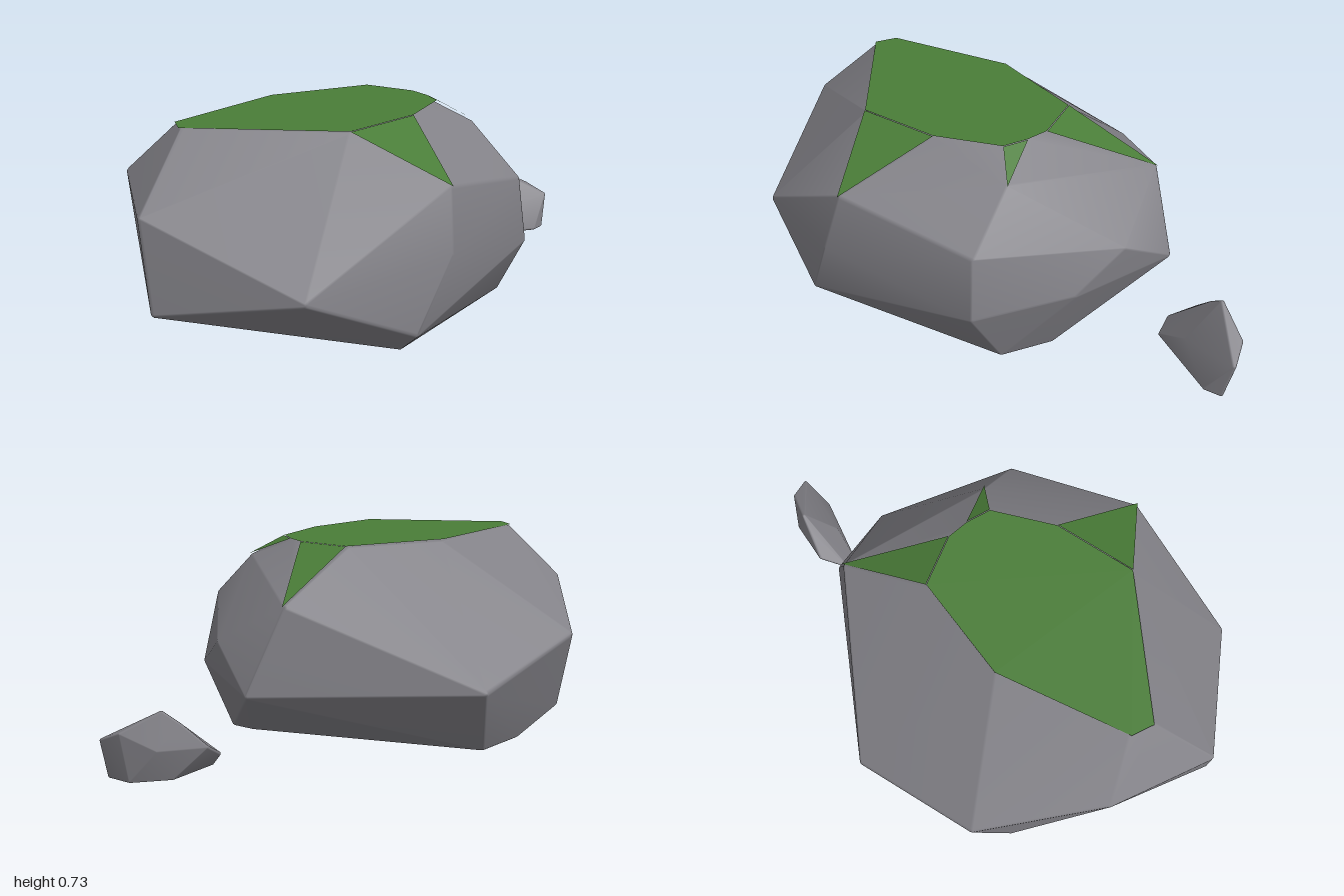
import * as THREE from 'three';
import { ConvexGeometry } from 'three/addons/geometries/ConvexGeometry.js';
import { mergeVertices } from 'three/addons/utils/BufferGeometryUtils.js';

const vec = (p) => new THREE.Vector3(...p);

// Convex stone whose corners and edges are rounded by a small radius;
// area-weighted normals keep the big faces flat and the bevels soft
function stone(name, corners, radius, material) {
  const pts = corners.map(vec);
  const centre = new THREE.Box3().setFromPoints(pts).getCenter(new THREE.Vector3());
  const pos = new THREE.IcosahedronGeometry(radius, 1).getAttribute('position');
  const ball = new Map();
  for (let i = 0; i < pos.count; i++) {
    const v = new THREE.Vector3().fromBufferAttribute(pos, i);
    ball.set(v.toArray().map((n) => Math.round(n * 1e4)).join(), v);
  }
  const cloud = [];
  for (const p of pts) {
    const inner = p.clone().addScaledVector(p.clone().sub(centre).normalize(), -1.3 * radius);
    for (const b of ball.values()) cloud.push(inner.clone().add(b));
  }
  const hull = new ConvexGeometry(cloud);
  hull.deleteAttribute('normal');
  const geo = mergeVertices(hull, 1e-5);
  geo.computeVertexNormals();
  const mesh = new THREE.Mesh(geo, material);
  mesh.name = name;
  return mesh;
}

// Thin flat patch lying just above a face of the boulder
function patch(name, corners, material, lift = 0.006) {
  const pts = corners.map(vec);
  const normal = new THREE.Triangle(pts[0], pts[1], pts[2]).getNormal(new THREE.Vector3());
  if (normal.y < 0) {
    pts.reverse();
    normal.negate();
  }
  pts.forEach((p) => p.addScaledVector(normal, lift));
  const tris = [];
  for (let i = 1; i < pts.length - 1; i++) tris.push(pts[0], pts[i], pts[i + 1]);
  const geo = new THREE.BufferGeometry().setFromPoints(tris);
  geo.computeVertexNormals();
  const mesh = new THREE.Mesh(geo, material);
  mesh.name = name;
  return mesh;
}

export function createModel() {
  const rock = new THREE.MeshStandardMaterial({ color: 0x828187 });
  rock.name = 'rock grey';
  const moss = new THREE.MeshStandardMaterial({ color: 0x4a7d38, side: THREE.DoubleSide });
  moss.name = 'moss green';

  // Flat top outline, clockwise from the left end of the back edge
  const h = 0.717;
  const top = [
    [-0.74, -0.14], [-0.69, -0.21], [-0.19, -0.23], [0.17, -0.06], [0.19, 0.14],
    [0.16, 0.22], [0.11, 0.3], [-0.13, 0.36], [-0.44, 0.33],
  ].map(([x, z]) => [x, h, z]);

  // Corners where moss runs down from the top
  const rightTip = [0.52, 0.56, -0.08];
  const cornerTip = [0.19, 0.645, 0.41];
  const frontTip = [-0.33, 0.57, 0.65];

  const middle = [
    // front
    [-0.38, 0.37, 0.695], [-0.5, 0.12, 0.645], [0.18, 0.47, 0.615], [0.19, 0.24, 0.645],
    // right
    [0.55, 0.4, 0.22], [0.455, 0.28, 0.4], [0.63, 0.26, 0],
    // back
    [0.145, 0.28, -0.655], [-0.35, 0.4, -0.7], [-0.74, 0.53, -0.415], [-0.46, 0.085, -0.59],
    // left
    [-0.985, 0.49, -0.08], [-1.005, 0.19, -0.02], [-0.83, 0.29, 0.465],
  ];
  const base = [
    [-0.55, 0.01, 0.1], [-0.42, 0.01, 0.53], [0.23, 0.01, 0.52], [0.35, 0.01, 0.37],
    [0.34, 0.01, 0.28], [-0.03, 0.01, -0.54], [-0.23, 0.01, -0.56],
  ];

  const pebble = [
    [0.88, 0.25, 0.13], [0.83, 0.2, 0.09], [0.99, 0.18, 0.22], [1, 0.14, 0.31],
    [0.76, 0.11, 0.04], [0.67, 0.05, 0.08], [0.66, 0, 0.13], [0.78, 0.08, 0.2],
    [0.92, 0.12, 0.12], [0.91, 0, 0.315], [0.97, 0, 0.315], [0.96, 0, 0.22],
    [0.85, 0, 0.12],
  ];

  const group = new THREE.Group();
  group.name = 'mossyRock';
  group.add(
    stone('boulder', [...top, rightTip, cornerTip, frontTip, ...middle, ...base], 0.016, rock),
    stone('pebble', pebble, 0.008, rock),
    patch('mossTop', top, moss),
    patch('mossRightTongue', [top[3], top[4], rightTip], moss),
    patch('mossCornerTongue', [top[5], top[6], cornerTip], moss),
    patch('mossFrontTongue', [top[7], top[8], frontTip], moss),
  );
  return group;
}
